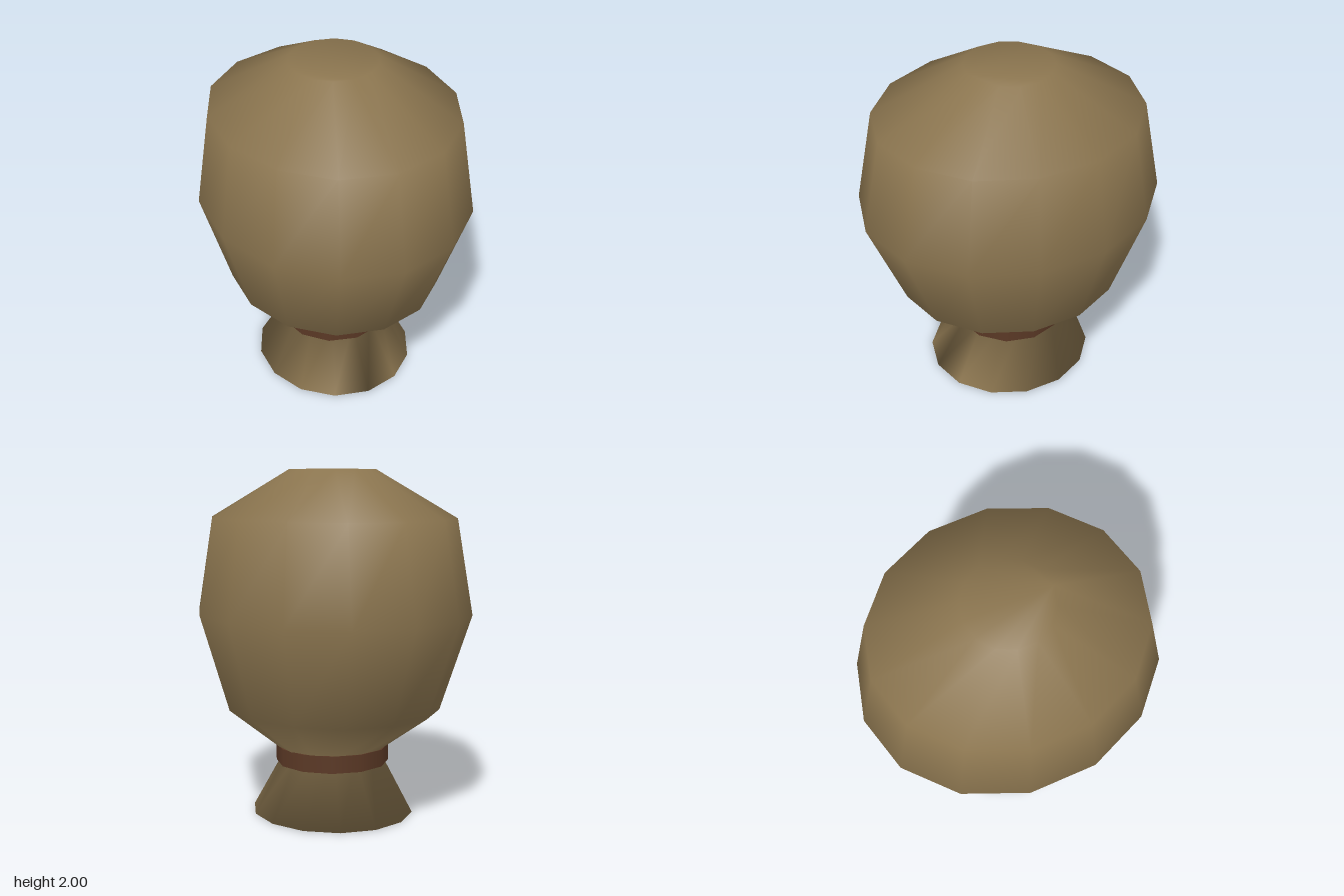
import * as THREE from 'three';

const SIDES = 14;

// Smooth closed skin through elliptical rings [y, radiusX, radiusZ], bottom to top
function skinRings(rings) {
  const pos = [], index = [];
  for (const [y, rx, rz] of rings) {
    for (let i = 0; i < SIDES; i++) {
      const a = (i / SIDES) * Math.PI * 2;
      pos.push(rx * Math.sin(a), y, rz * Math.cos(a));
    }
  }
  for (let r = 0; r < rings.length - 1; r++) {
    for (let i = 0; i < SIDES; i++) {
      const j = (i + 1) % SIDES;
      const a = r * SIDES + i, b = r * SIDES + j;
      index.push(a, b, b + SIDES, a, b + SIDES, a + SIDES);
    }
  }
  // end caps share the ring vertices so the shading stays soft
  const top = (rings.length - 1) * SIDES;
  for (let i = 1; i < SIDES - 1; i++) {
    index.push(0, i + 1, i);
    index.push(top, top + i, top + i + 1);
  }
  const geo = new THREE.BufferGeometry();
  geo.setAttribute('position', new THREE.Float32BufferAttribute(pos, 3));
  geo.setIndex(index);
  geo.computeVertexNormals();
  return geo;
}

export function createModel() {
  const group = new THREE.Group();
  group.name = 'tiedSack';

  const burlap = new THREE.MeshStandardMaterial({ color: 0x8b754f });
  burlap.name = 'burlap';
  const cord = new THREE.MeshStandardMaterial({ color: 0x5a3825 });
  cord.name = 'darkCord';

  // Flared foot, pinched neck and bulging body
  const sack = new THREE.Mesh(skinRings([
    [0, 0.465, 0.495],
    [0.36, 0.28, 0.27],
    [0.625, 0.61, 0.665],
    [1.18, 0.77, 0.88],
    [1.725, 0.69, 0.77],
    [2, 0.25, 0.25],
  ]), burlap);
  sack.name = 'sack';
  group.add(sack);

  // Band tied around the neck
  const band = new THREE.Mesh(new THREE.CylinderGeometry(0.33, 0.33, 0.1, 12), cord);
  band.name = 'neckBand';
  band.position.y = 0.345;
  group.add(band);

  return group;
}
